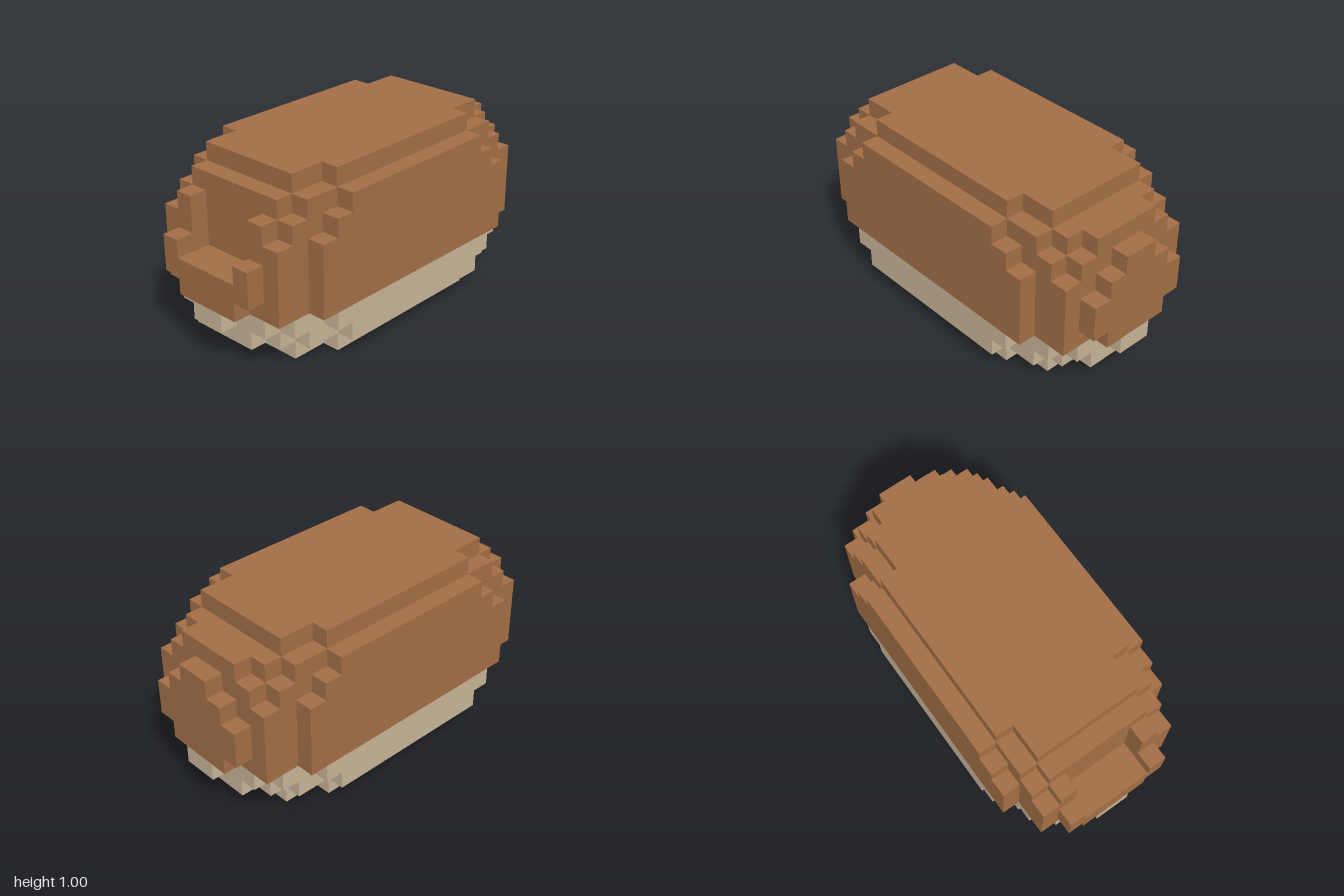
import * as THREE from 'three';

const U = 0.1; // block size

// One entry per block layer from the bottom up. Each array is the reach in z of
// the columns from the middle outwards; the back is given where it differs.
const LAYERS = [
  { front: [7, 7, 7, 5] },
  { front: [9, 9, 8, 7, 5] },
  { front: [10, 9, 9, 8, 6] },
  { front: [10, 10, 9, 9, 7] },
  { front: [10, 10, 10, 9, 7] },
  { front: [8, 8, 10, 9, 7], back: [10, 10, 10, 9, 7] },
  { front: [8, 8, 9, 9, 7], back: [10, 10, 9, 9, 7] },
  { front: [8, 8, 9, 8, 6], back: [10, 9, 9, 8, 6] },
  { front: [8, 8, 8, 7, 5], back: [9, 9, 8, 7, 5] },
  { front: [7, 7, 7, 5] },
];
const BASE_LAYERS = 3;

// Stepped outline of a layer, mirrored across x = 0
function outline(front, back) {
  const half = [];
  const add = (x, z) => {
    const last = half[half.length - 1];
    if (!last || last[0] !== x || last[1] !== z) half.push([x, z]);
  };
  front.forEach((z, i) => { add(i, z); add(i + 1, z); });
  for (let i = back.length - 1; i >= 0; i--) { add(i + 1, -back[i]); add(i, -back[i]); }
  const mirrored = half.slice(1, -1).reverse().map(([x, z]) => [-x, z]);
  return new THREE.Shape([...half, ...mirrored].map(([x, z]) => new THREE.Vector2(x * U, z * U)));
}

function layerGeometry({ front, back = front }, level) {
  const geometry = new THREE.ExtrudeGeometry(outline(front, back), { depth: U, bevelEnabled: false });
  geometry.rotateX(Math.PI / 2); // outline y becomes z, depth runs downwards
  geometry.translate(0, (level + 1) * U, 0);
  return geometry;
}

export function createModel() {
  const brown = new THREE.MeshStandardMaterial({ name: 'brown', color: 0xa36f46 });
  const tan = new THREE.MeshStandardMaterial({ name: 'tan', color: 0xc9b598 });

  const model = new THREE.Group();
  model.name = 'roundedBlockBody';
  const base = new THREE.Group();
  base.name = 'paleUnderside';
  const upper = new THREE.Group();
  upper.name = 'brownUpperBody';
  model.add(base, upper);

  LAYERS.forEach((layer, level) => {
    const isBase = level < BASE_LAYERS;
    const mesh = new THREE.Mesh(layerGeometry(layer, level), isBase ? tan : brown);
    mesh.name = `${isBase ? 'underside' : 'upper'}Layer${level + 1}`;
    (isBase ? base : upper).add(mesh);
  });
  return model;
}
